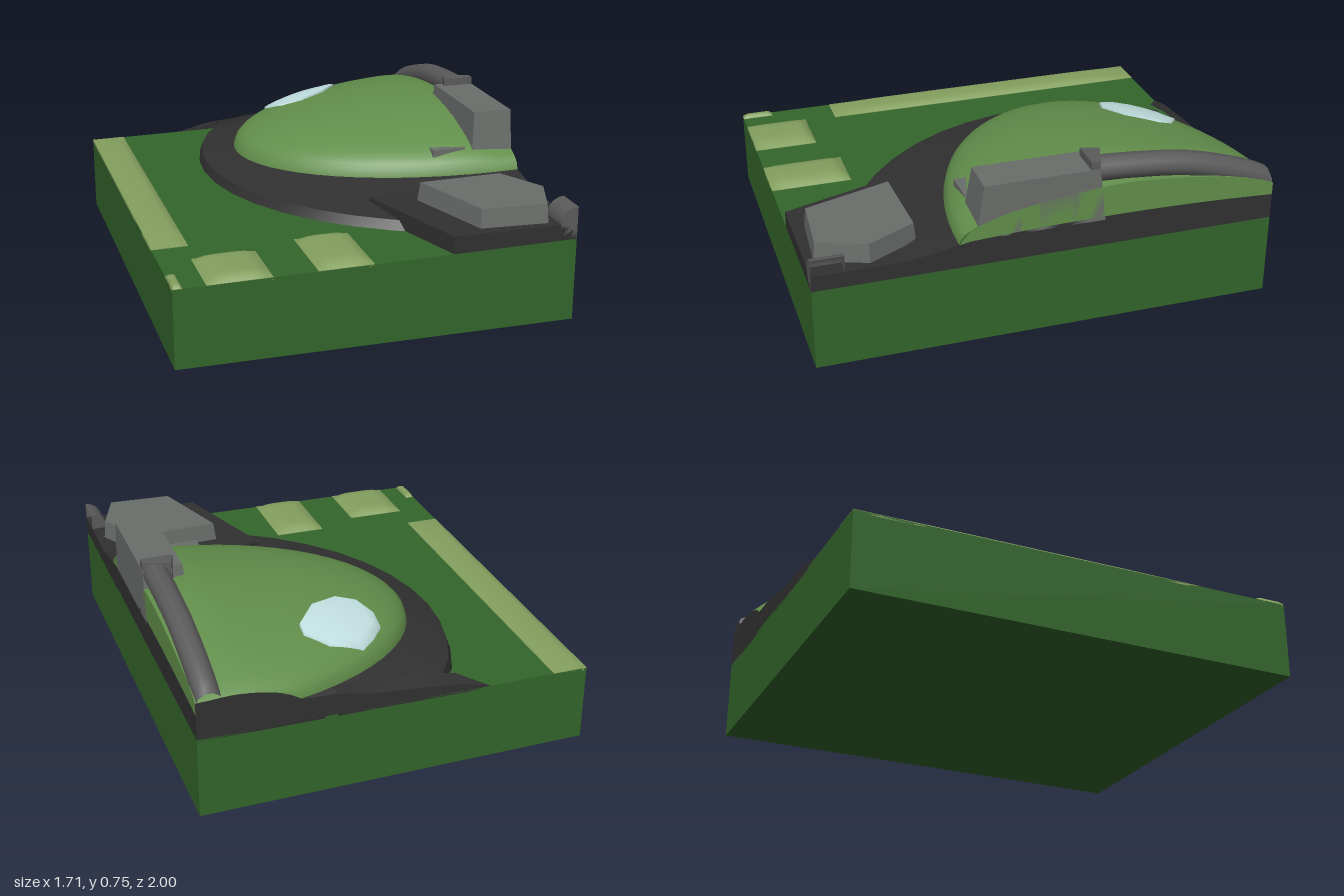
import * as THREE from 'three';
import { toCreasedNormals } from 'three/addons/utils/BufferGeometryUtils.js';

const W = 0.855, CZ = -0.33; // half width of the tile, centre line of the hill
const { clamp, lerp, smoothstep } = THREE.MathUtils;
const range = (n, a, b) => Array.from({ length: n + 1 }, (_, i) => lerp(a, b, i / n));

// Terrain heights
const ground = x => 0.352 + 0.013 * x;
const rimY = x => 0.435 + 0.035 * (x + 0.27) / 1.125;
function hillY(x, z) {
  const s = Math.min(1, Math.hypot((x - W) / 1.125, (z - CZ) / 0.72));
  const f = Math.pow(1 - Math.pow(s, 1.5), 0.46);
  return rimY(x) + f * (0.69 - rimY(x) - 0.05 * smoothstep(x, 0.65, W));
}
const bandY = z => z < 0.39
  ? 0.475 + 0.022 * (1 - ((z + 0.3) / 0.7) ** 2)
  : lerp(0.47, 0.385, (z - 0.39) / 0.48);

// Surface through rows of [x, y, z] points
function loft(rows, crease = 0.6) {
  const n = rows[0].length, index = [];
  for (let r = 0; r < rows.length - 1; r++)
    for (let i = 0; i < n - 1; i++) {
      const a = r * n + i, b = a + n;
      index.push(a, a + 1, b, b, a + 1, b + 1);
    }
  const g = new THREE.BufferGeometry();
  g.setAttribute('position', new THREE.Float32BufferAttribute(rows.flat(2), 3));
  g.setIndex(index);
  g.computeVertexNormals();
  return toCreasedNormals(g, crease);
}

// Prism from a plan outline of [x, z], optionally tapered towards the top
function prism(plan, y0, y1, taper = 1) {
  const shape = new THREE.Shape(plan.map(([x, z]) => new THREE.Vector2(x, -z)));
  const g = new THREE.ExtrudeGeometry(shape, { depth: y1 - y0, bevelEnabled: false });
  g.rotateX(-Math.PI / 2).translate(0, y0, 0);
  const cx = plan.reduce((s, p) => s + p[0], 0) / plan.length;
  const cz = plan.reduce((s, p) => s + p[1], 0) / plan.length;
  const p = g.attributes.position;
  for (let i = 0; i < p.count; i++)
    if (p.getY(i) > (y0 + y1) / 2)
      p.setXYZ(i, cx + (p.getX(i) - cx) * taper, y1, cz + (p.getZ(i) - cz) * taper);
  g.computeVertexNormals();
  return g;
}

// Low rounded mound lying on the ground
function mound(x0, x1, z0, z1, h) {
  const g = new THREE.BoxGeometry(x1 - x0, 1, z1 - z0, 10, 1, 14);
  const p = g.attributes.position;
  for (let i = 0; i < p.count; i++) {
    const u = 2 * p.getX(i) / (x1 - x0), v = 2 * p.getZ(i) / (z1 - z0);
    const x = p.getX(i) + (x0 + x1) / 2, z = p.getZ(i) + (z0 + z1) / 2;
    const y = p.getY(i) > 0 ? ground(x) + 0.002 + h * (1 - u ** 4) * (1 - v ** 8) : ground(x) - 0.01;
    p.setXYZ(i, x, y, z);
  }
  g.computeVertexNormals();
  return g;
}

export function createModel() {
  const model = new THREE.Group();
  const mat = color => new THREE.MeshStandardMaterial({ color, side: THREE.DoubleSide });
  const grass = mat(0x33662b), lawn = mat(0x628f4b), pale = mat(0x84a05f);
  const asphalt = mat(0x323132), stone = mat(0x6a6e6b), pipe = mat(0x5c5b5c), water = mat(0xc5e3e3);
  const add = (name, geometry, material) => {
    const m = new THREE.Mesh(geometry, material);
    m.name = name;
    model.add(m);
    return m;
  };

  // Ground block with a slightly tilted top
  const block = new THREE.BoxGeometry(2 * W, 1, 2);
  const bp = block.attributes.position;
  for (let i = 0; i < bp.count; i++) bp.setY(i, bp.getY(i) > 0 ? ground(bp.getX(i)) : 0);
  block.computeVertexNormals();
  add('groundBlock', block, grass);

  // Domed hill, cut off at the right and back edges
  const angles = range(32, -Math.PI / 2, Math.PI / 2);
  const hillRows = range(18, 0, 1).map(t => {
    const s = 1 - (1 - t) ** 1.6;
    return angles.map(a => {
      const x = W - 1.125 * s * Math.cos(a), z = Math.max(-1, CZ + 0.72 * s * Math.sin(a));
      return [x, hillY(x, z), z];
    });
  });
  add('hill', loft(hillRows, 1), lawn);
  const zs = range(28, -1, 0.39);
  add('hillSide', loft([
    zs.map(z => [W, bandY(z), z]),
    zs.map(z => [W, Math.max(bandY(z), hillY(W, z)), z]),
  ]), lawn);

  // Road curving round the hill
  const ringAngles = range(22, -Math.PI / 2, Math.PI / 2);
  const ringRow = (k, drop) => ringAngles.map(a => {
    const c = Math.cos(a), x = W - lerp(1.125, 1.285, k) * c;
    const limit = -0.93 - 0.07 * clamp((x - 0.12) / 0.15, 0, 1);
    const z = Math.max(limit, CZ + lerp(0.72, 1.2, k) * Math.sin(a));
    return [x, drop ? ground(x) - 0.01 : lerp(rimY(W - 1.125 * c), 0.385, k), z];
  });
  add('ringRoad', loft([ringRow(0), ringRow(0.5), ringRow(0.9), ringRow(1, true)]), asphalt);
  const sideZ = range(36, -1, 0.87);
  add('roadSide', loft([
    sideZ.map(z => [W, ground(W), z]),
    sideZ.map(z => [W, bandY(z), z]),
  ]), asphalt);

  // Short road shoulder and cut face at the back edge
  const shoulder = [[-0.4, 0.35, 0.35], [-0.28, 0.38, 0.39], [-0.1, 0.4, 0.43], [0.12, 0.42, 0.44], [0.27, 0.45, 0.45]];
  add('backShoulder', loft([
    shoulder.map(([x]) => [x, ground(x) - 0.01, -1]),
    shoulder.map(([x, y]) => [x, y, -1]),
    shoulder.map(([x, , y], i) => [x, y, i === 0 ? -1 : -0.925]),
  ]), asphalt);
  const backX = range(12, 0.27, W);
  add('backCut', loft([
    backX.map(x => [x, ground(x), -1]),
    backX.map(x => [x, hillY(x, -1), -1]),
  ]), asphalt);

  // Pond resting on the hill slope
  const pondPlan = [[-0.04, -0.69], [0.02, -0.76], [0.09, -0.82], [0.24, -0.82], [0.33, -0.76],
    [0.33, -0.7], [0.23, -0.57], [0.1, -0.51], [0.01, -0.53], [-0.04, -0.61], [-0.04, -0.69]];
  const pondRow = (s, lift) => pondPlan.map(([px, pz]) => {
    const x = lerp(0.14, px, s), z = lerp(-0.67, pz, s);
    return [x, hillY(x, z) + lift, z];
  });
  add('pond', loft([pondRow(0, 0.014), pondRow(0.4, 0.014), pondRow(0.75, 0.012), pondRow(0.97, 0.01), pondRow(1, -0.01)], 1), water);

  // Pale mounds along the left and front edges
  [[-W, -0.7, -1, 0.57, 0.018], [-W, -0.815, 0.86, 1, 0.014],
    [-0.72, -0.45, 0.715, 1, 0.026], [-0.265, -0.03, 0.64, 1, 0.027]]
    .forEach(m => add('mound', mound(...m), pale));

  // Paved corner with a five-sided building
  add('pavedCorner', prism([[0.13, 0.45], [0.31, 1], [W, 1], [W, 0.35]], 0.355, 0.432), asphalt);
  add('cornerBuilding', prism([[0.315, 0.545], [0.705, 0.53], [0.82, 0.75], [0.74, 0.965], [0.445, 0.945]], 0.42, 0.515, 0.96), stone);

  // Half-round pipe end at the corner
  const stub = new THREE.CylinderGeometry(0.075, 0.075, 0.14, 14, 1, false, Math.PI, Math.PI);
  stub.rotateX(Math.PI / 2);
  add('cornerPipe', stub, pipe).position.set(W, 0.43, 0.93);

  // Tapered building on the hill edge, with a small slab beside it
  add('hillBuilding', loft([
    [[W, 0.48, 0.32], [0.66, 0.48, 0.32], [0.66, 0.48, -0.24], [W, 0.48, -0.24], [W, 0.48, 0.32]],
    [[W, 0.72, 0.285], [0.68, 0.72, 0.285], [0.68, 0.72, -0.21], [W, 0.72, -0.21], [W, 0.72, 0.285]],
  ], 0.3), stone);
  add('hillBuildingRoof', prism([[0.68, -0.21], [W, -0.21], [W, 0.285], [0.68, 0.285]], 0.71, 0.721), stone);
  add('slab', prism([[0.48, 0.235], [0.64, 0.27], [0.635, 0.3], [0.48, 0.305]], 0.525, 0.565), stone);

  // Pipe running down the hill edge to the back
  const path = new THREE.CatmullRomCurve3([[0.7, -0.18], [0.685, -0.4], [0.66, -0.6], [0.605, -0.8], [0.555, -0.93], [0.515, -1]]
    .map(([y, z]) => new THREE.Vector3(0.798, y, z)));
  const tube = new THREE.TubeGeometry(path, 20, 0.056, 10);
  const tp = tube.attributes.position;
  for (let i = 0; i < tp.count; i++) tp.setZ(i, Math.max(-1, tp.getZ(i)));
  add('hillPipe', tube, pipe);
  add('pipeCollar', prism([[0.71, -0.17], [W, -0.17], [W, -0.21], [0.735, -0.25]], 0.65, 0.755, 0.97), pipe);

  return model;
}
